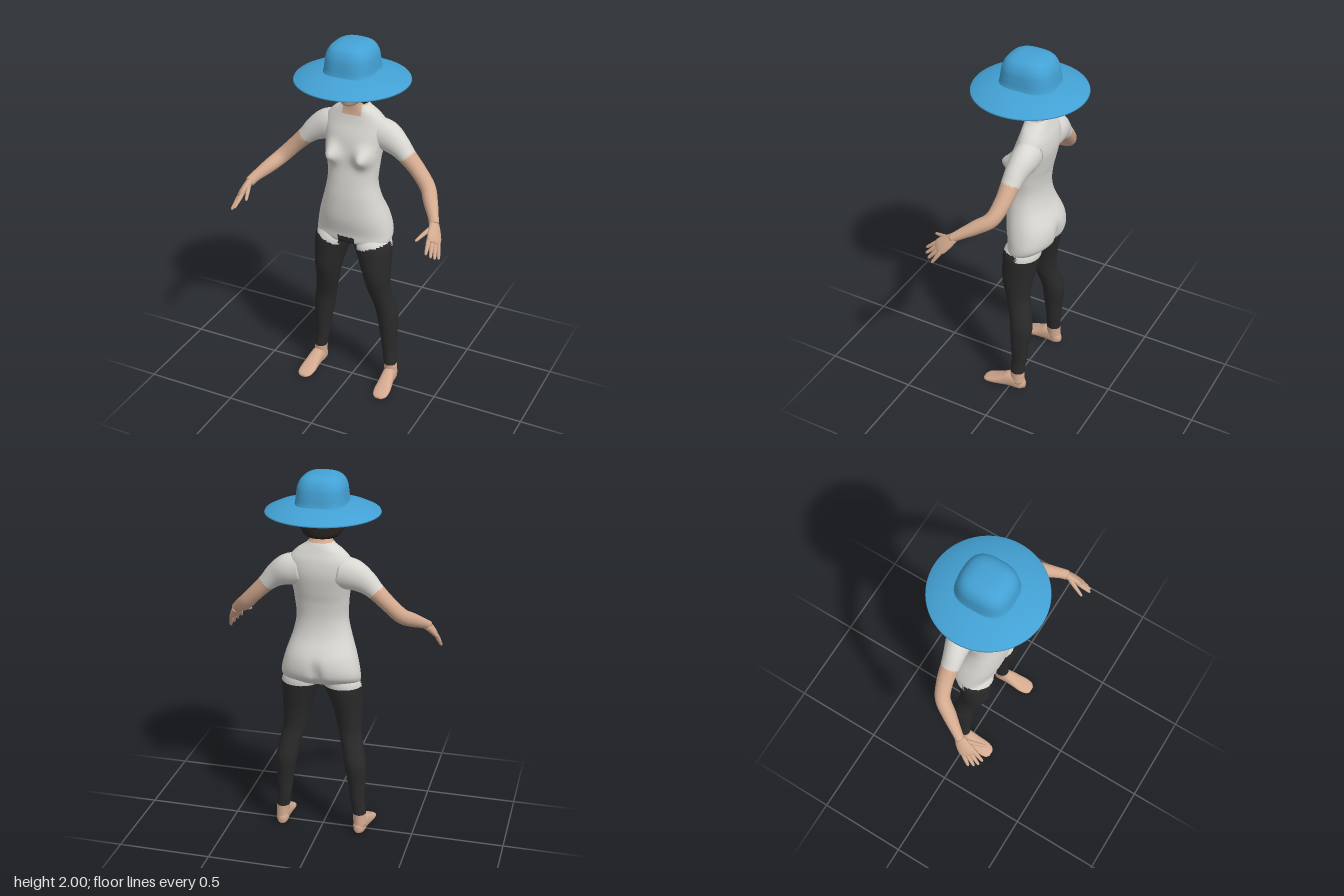
import * as THREE from 'three';

const mat = (name, color, side = THREE.FrontSide) => {
  const m = new THREE.MeshStandardMaterial({ color, side });
  m.name = name;
  return m;
};
const V = (x, y, z) => new THREE.Vector3(x, y, z);

// Smooth skin over stations [x, y, z, halfWidth, halfDepth].
// u: width direction; dir: fixed ring normal (otherwise the path tangent);
// n: squareness of the rings; rule(centroid): material index, or -1 to leave the face out.
function loft(stations, u, { dir = null, n = 2, seg = 32, steps = 6, bend = null, rule = () => 0 } = {}) {
  const path = new THREE.CatmullRomCurve3(stations.map(s => V(s[0], s[1], s[2])));
  const size = new THREE.CatmullRomCurve3(stations.map(s => V(s[3], s[4], 0)));
  path.curveType = size.curveType = 'catmullrom';
  const rows = (stations.length - 1) * steps;
  const pts = [];
  const pw = c => Math.sign(c) * Math.abs(c) ** (2 / n);
  for (let i = 0; i <= rows; i++) {
    const c = path.getPoint(i / rows), r = size.getPoint(i / rows);
    const t = dir || path.getTangent(i / rows);
    const a = u.clone().addScaledVector(t, -u.dot(t)).normalize();
    const b = t.clone().cross(a);
    for (let j = 0; j < seg; j++) {
      const q = j / seg * Math.PI * 2;
      const p = c.clone().addScaledVector(a, r.x * pw(Math.cos(q))).addScaledVector(b, r.y * pw(Math.sin(q)));
      if (bend) bend(p);
      pts.push(p);
    }
  }
  const first = pts.length, last = first + 1;
  pts.push(path.getPoint(0), path.getPoint(1));
  const faces = [];
  const add = (a, b, c) => {
    const k = rule(V(0, 0, 0).add(pts[a]).add(pts[b]).add(pts[c]).divideScalar(3));
    if (k >= 0) (faces[k] ||= []).push(a, b, c);
  };
  for (let j = 0; j < seg; j++) {
    const k = (j + 1) % seg;
    for (let i = 0; i < rows; i++) {
      const a = i * seg + j, b = i * seg + k;
      add(a, b, a + seg);
      add(b, b + seg, a + seg);
    }
    add(first, k, j);
    add(last, rows * seg + j, rows * seg + k);
  }
  const g = new THREE.BufferGeometry().setFromPoints(pts);
  const index = [];
  faces.forEach((f, k) => {
    g.addGroup(index.length, f.length, k);
    for (const v of f) index.push(v);
  });
  g.setIndex(index);
  g.computeVertexNormals();
  return g;
}

export function createModel() {
  const model = new THREE.Group();
  const skin = mat('skin', 0xd3aa8f);
  const suit = mat('suit', 0xd9d7d2);
  const leggings = mat('leggings', 0x2a2a2a);
  const hair = mat('hair', 0x282422, THREE.DoubleSide);
  const blue = mat('hat blue', 0x43a1d4);
  const cloth = [suit, leggings, skin];
  const X = V(1, 0, 0), DOWN = V(0, -1, 0), FRONT = V(0, 0, 1);
  const add = (name, geometry, material, parent = model) => {
    const m = new THREE.Mesh(geometry, Array.isArray(material) ? material : [material]);
    if (!Array.isArray(material)) m.material = material;
    m.name = name;
    parent.add(m);
    return m;
  };

  // Lower edge of the suit: notched in front, nearly level behind
  const hem = p => {
    const x = Math.abs(p.x);
    if (p.z < -0.03) return 0.87;
    return x < 0.052 ? 0.93 : 0.86 + 0.045 * Math.min(1, Math.max(0, (x - 0.06) / 0.15));
  };

  // Torso and neck
  add('torso', loft([
    [0, 1.74, -0.03, 0.05, 0.05], [0, 1.68, -0.038, 0.052, 0.05],
    [0, 1.645, -0.048, 0.075, 0.058], [0, 1.61, -0.053, 0.125, 0.066],
    [0, 1.56, -0.055, 0.165, 0.08], [0, 1.49, -0.045, 0.168, 0.095],
    [0, 1.4, -0.03, 0.15, 0.095], [0, 1.33, -0.02, 0.142, 0.09],
    [0, 1.24, -0.01, 0.137, 0.094], [0, 1.15, -0.013, 0.155, 0.108],
    [0, 1.04, -0.037, 0.19, 0.133], [0, 0.95, -0.045, 0.21, 0.125],
    [0, 0.9, -0.025, 0.205, 0.1], [0, 0.88, -0.02, 0.17, 0.07],
  ], X, {
    dir: DOWN, n: 2.2, seg: 64, steps: 8,
    bend: p => {
      const x = Math.abs(p.x);
      if (p.z > 0) p.z += 0.06 * Math.exp(-((x - 0.09) ** 2) / 0.0018 - ((p.y - 1.395) ** 2) / 0.0024);
      if (p.z < -0.08) p.z += 0.025 * Math.exp(-(x ** 2) / 0.0006 - ((p.y - 0.96) ** 2) / 0.004);
    },
    rule: p => {
      const collar = p.z > -0.04 && Math.abs(p.x) < 0.052 && p.y > 1.605;
      if (p.y > 1.655 || collar) return 2;
      return p.y < hem(p) ? 1 : 0;
    },
  }), cloth);

  for (const s of [1, -1]) {
    const side = s > 0 ? 'left' : 'right';
    const flip = list => list.map(([x, ...r]) => [s * x, ...r]);

    // Leg with legging, bare below the ankle
    add(side + 'Leg', loft(flip([
      [0.105, 0.93, -0.03, 0.085, 0.085], [0.112, 0.88, -0.02, 0.104, 0.1],
      [0.127, 0.8, -0.012, 0.09, 0.095], [0.142, 0.7, -0.005, 0.074, 0.083],
      [0.153, 0.6, -0.015, 0.063, 0.066], [0.175, 0.5, -0.04, 0.059, 0.061],
      [0.19, 0.42, -0.052, 0.058, 0.062], [0.2, 0.3, -0.048, 0.047, 0.05],
      [0.205, 0.2, -0.047, 0.038, 0.042], [0.215, 0.12, -0.042, 0.036, 0.04],
      [0.219, 0.05, -0.045, 0.035, 0.039],
    ]), X, { dir: DOWN, steps: 8, rule: p => p.y > hem(p) ? 0 : p.y > 0.12 ? 1 : 2 }), cloth);

    // Foot
    add(side + 'Foot', loft(flip([
      [0.216, 0.033, -0.088, 0.014, 0.018], [0.218, 0.045, -0.06, 0.033, 0.043],
      [0.222, 0.05, 0, 0.036, 0.048], [0.227, 0.036, 0.05, 0.041, 0.034],
      [0.23, 0.023, 0.1, 0.045, 0.021], [0.232, 0.015, 0.138, 0.038, 0.013],
      [0.232, 0.01, 0.156, 0.02, 0.006],
    ]), X, { dir: FRONT, n: 2.3 }), skin);

    // Arm with short sleeve
    add(side + 'Arm', loft(flip([
      [0.1, 1.505, -0.06, 0.085, 0.07], [0.17, 1.492, -0.06, 0.082, 0.068],
      [0.235, 1.455, -0.052, 0.063, 0.056], [0.285, 1.41, -0.047, 0.047, 0.049],
      [0.35, 1.345, -0.04, 0.041, 0.043], [0.415, 1.277, -0.015, 0.04, 0.039],
      [0.46, 1.235, 0.05, 0.037, 0.036], [0.505, 1.195, 0.12, 0.028, 0.026],
      [0.525, 1.172, 0.155, 0.027, 0.022],
    ]), V(s * 0.77, 0.64, 0), {
      rule: p => 0.64 * Math.abs(p.x) - 0.77 * p.y < -0.9 ? 0 : 2,
    }), cloth);

    // Hand: flat palm, four fingers and a thumb
    const hand = new THREE.Group();
    hand.name = side + 'Hand';
    model.add(hand);
    const across = V(s * -0.55, 0.6, 0.45);
    add('palm', loft(flip([
      [0.52, 1.178, 0.145, 0.026, 0.022], [0.536, 1.15, 0.175, 0.038, 0.019],
      [0.548, 1.123, 0.205, 0.044, 0.016], [0.553, 1.108, 0.222, 0.036, 0.011],
    ]), across, { seg: 20 }), skin, hand);
    const fingers = [
      [[0.53, 1.128, 0.232], [0.541, 1.077, 0.295]], [[0.545, 1.115, 0.225], [0.563, 1.06, 0.285]],
      [[0.558, 1.103, 0.215], [0.577, 1.045, 0.265]], [[0.57, 1.09, 0.202], [0.588, 1.033, 0.238]],
      [[0.513, 1.16, 0.185], [0.477, 1.13, 0.277]],
    ];
    fingers.forEach(([a, b], i) => {
      const at = (t, r) => [...a.map((v, k) => v + (b[k] - v) * t), r, r];
      add(i < 4 ? 'finger' : 'thumb', loft(flip([
        at(-0.25, 0.011), at(0.2, 0.0115), at(0.6, 0.0095), at(0.92, 0.007), at(1, 0.002),
      ]), across, { seg: 10, steps: 3 }), skin, hand);
    });
  }

  // Head and face
  add('head', loft([
    [0, 1.93, -0.01, 0.03, 0.03], [0, 1.89, -0.01, 0.08, 0.08],
    [0, 1.82, -0.008, 0.09, 0.088], [0, 1.76, -0.004, 0.084, 0.084],
    [0, 1.71, 0.006, 0.068, 0.076], [0, 1.68, 0.02, 0.042, 0.055],
    [0, 1.668, 0.025, 0.018, 0.03],
  ], X, { dir: DOWN }), skin);
  add('nose', loft([
    [0, 1.782, 0.07, 0.008, 0.012], [0, 1.75, 0.08, 0.011, 0.016],
    [0, 1.737, 0.082, 0.014, 0.017], [0, 1.73, 0.076, 0.008, 0.008],
  ], X, { dir: DOWN, seg: 14 }), skin);
  for (const y of [1.716, 1.708]) {
    const lip = add('lip', new THREE.SphereGeometry(1, 16, 8), skin);
    lip.scale.set(0.024, 0.005, 0.008);
    lip.position.set(0, y, 0.081);
  }
  for (const s of [1, -1]) {
    const eye = add('eye', new THREE.SphereGeometry(1, 14, 8), hair);
    eye.scale.set(0.013, 0.004, 0.003);
    eye.position.set(s * 0.035, 1.778, 0.073);
  }

  // Bobbed hair, open at the face with a swept fringe
  add('hair', loft([
    [0, 1.91, -0.01, 0.07, 0.07], [0, 1.85, -0.01, 0.108, 0.1],
    [0, 1.78, -0.012, 0.117, 0.104], [0, 1.73, -0.016, 0.115, 0.1],
    [0, 1.695, -0.022, 0.1, 0.09], [0, 1.678, -0.025, 0.082, 0.076],
  ], X, {
    dir: DOWN, seg: 72, steps: 10,
    rule: p => p.z > 0 && Math.abs(p.x) < 0.072 && p.y < 1.755 + Math.max(0, p.x + 0.03) * 0.8 ? -1 : 0,
  }), hair);

  // Hat: drooping brim and rounded, slightly square crown
  const profile = [
    [0.08, 1.842], [0.14, 1.836], [0.2, 1.82], [0.25, 1.805], [0.288, 1.793], [0.295, 1.796],
    [0.292, 1.802], [0.25, 1.822], [0.2, 1.838], [0.15, 1.85], [0.1, 1.858],
  ].map(([x, y]) => new THREE.Vector2(x, y));
  add('hatBrim', new THREE.LatheGeometry(profile, 64), blue).position.z = -0.004;
  add('hatCrown', loft([
    [0, 2.0, -0.008, 0.012, 0.012], [0, 1.995, -0.008, 0.06, 0.066],
    [0, 1.975, -0.008, 0.098, 0.108], [0, 1.94, -0.008, 0.119, 0.13],
    [0, 1.9, -0.008, 0.126, 0.139], [0, 1.865, -0.008, 0.13, 0.144],
    [0, 1.842, -0.008, 0.136, 0.15],
  ], X, { dir: DOWN, n: 2.8, seg: 64 }), blue);

  return model;
}
